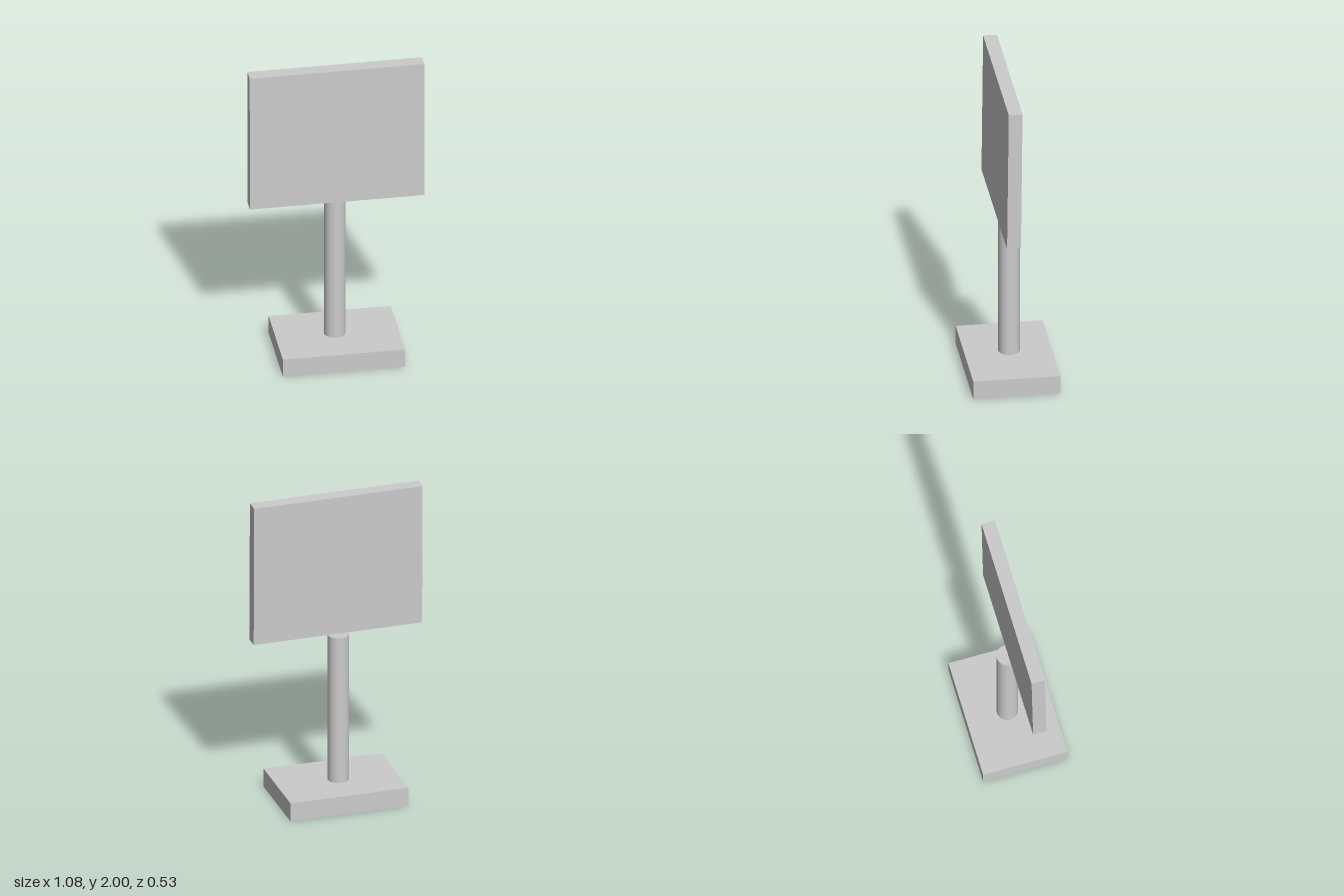
import * as THREE from 'three';

export function createModel() {
  const model = new THREE.Group();
  const material = new THREE.MeshStandardMaterial({ color: 0xcccccc });

  const addPart = (name, geometry, x, y, z) => {
    const mesh = new THREE.Mesh(geometry, material);
    mesh.name = name;
    mesh.position.set(x, y, z);
    model.add(mesh);
    return mesh;
  };

  // Rectangular foot, slightly off centre
  addPart('base', new THREE.BoxGeometry(0.752, 0.12, 0.534), 0.011, 0.06, 0);

  // Round post, its top half exposed behind the panel
  addPart('post', new THREE.CylinderGeometry(0.066, 0.066, 0.966, 48), -0.001, 0.603, -0.008);

  // Flat panel, leaning back and turned by a fraction of a degree
  const panel = addPart('panel', new THREE.BoxGeometry(1.076, 0.914, 0.085), 0, 1.5425, 0.035);
  panel.rotation.set(-0.011, 0.003, 0);

  return model;
}
